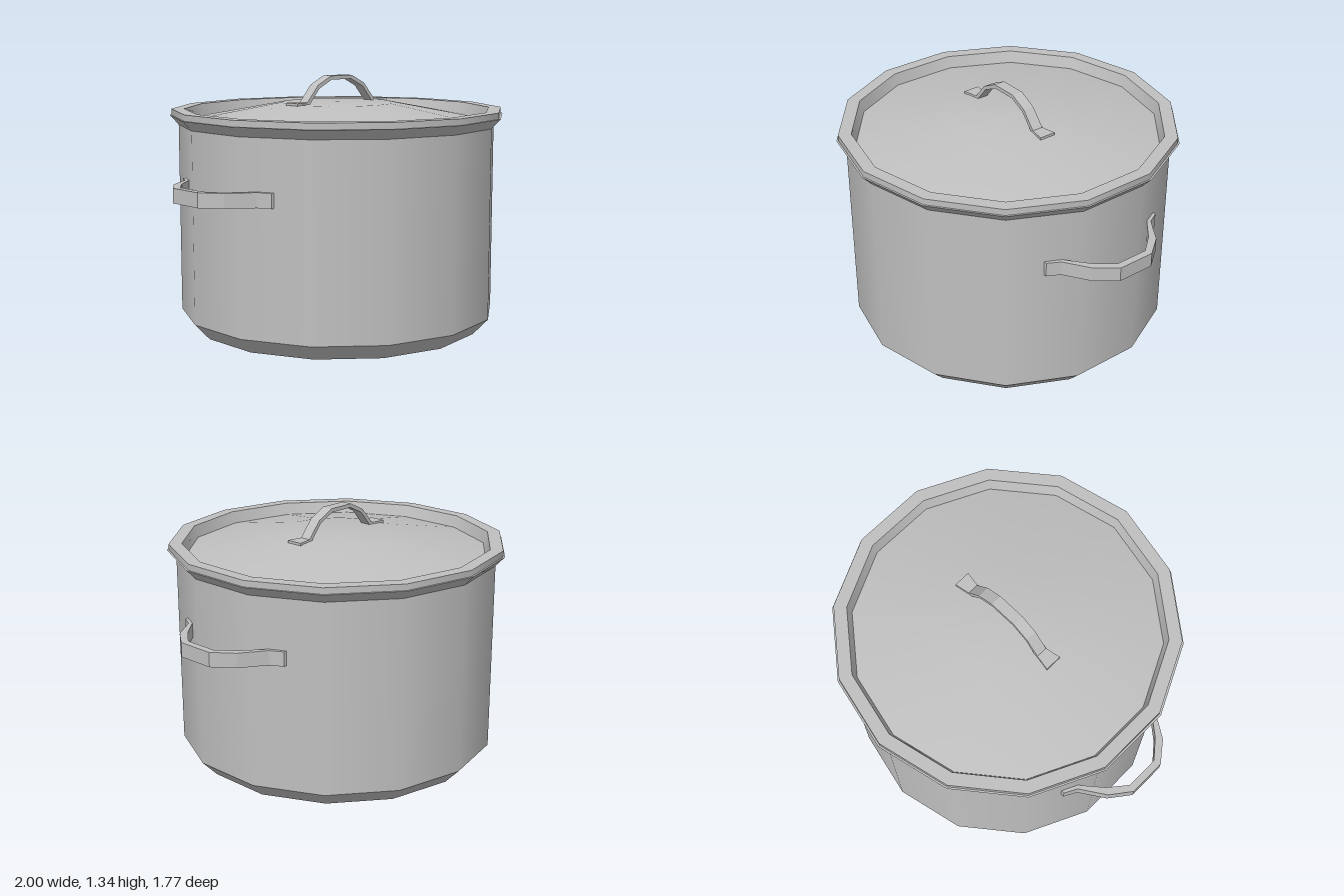
import * as THREE from 'three';

const SIDES = 14;
const steel = new THREE.MeshStandardMaterial({ color: 0xc0c0c0, side: THREE.DoubleSide });
steel.name = 'steel grey';

// Revolved bands: smooth around and within each band, sharp between bands
function turned(name, bands) {
  const group = new THREE.Group();
  group.name = name;
  for (const [label, ...pts] of bands) {
    const profile = pts.map(([r, y]) => new THREE.Vector2(r, y));
    const mesh = new THREE.Mesh(new THREE.LatheGeometry(profile, SIDES), steel);
    mesh.name = label;
    group.add(mesh);
  }
  return group;
}

// Symmetric bent strip: half outlines (outer and inner) are mirrored across the shape's y axis
function strip(outer, inner, depth) {
  const mirror = (pts) => pts.map(([x, y]) => [-x, y]).reverse();
  const loop = [...outer, ...mirror(outer), ...mirror(inner).reverse(), ...[...inner].reverse()];
  // walk: outer right -> outer left -> inner left -> inner right
  const shape = new THREE.Shape(loop.map(([x, y]) => new THREE.Vector2(x, y)));
  const geo = new THREE.ExtrudeGeometry(shape, { depth, bevelEnabled: false });
  return geo.translate(0, 0, -depth / 2);
}

export function createModel() {
  const model = new THREE.Group();
  model.name = 'cookingPot';

  // Pot body, with chamfered foot, flared rim and hollow inside
  model.add(turned('pot', [
    ['base', [0, 0], [0.76, 0]],
    ['chamfer', [0.76, 0], [0.84, 0.085]],
    ['wall', [0.84, 0.085], [0.84, 1.08]],
    ['flaredRim', [0.84, 1.08], [0.887, 1.13]],
    ['rimTop', [0.887, 1.13], [0.82, 1.13]],
    ['innerWall', [0.82, 1.13], [0.82, 0.09]],
    ['innerFloor', [0.82, 0.09], [0, 0.03]],
  ]));

  // Lid with raised edge, recess and shallow dome
  model.add(turned('lid', [
    ['lidEdge', [0.877, 1.13], [0.877, 1.162]],
    ['lidRing', [0.877, 1.162], [0.81, 1.162]],
    ['lidRecess', [0.81, 1.162], [0.79, 1.1]],
    ['lidDome', [0.79, 1.1], [0.3, 1.193], [0, 1.198]],
  ]));

  // Lid handle, arched along x with flared feet
  const lidGeo = strip(
    [[0.32, 1.203], [0.24, 1.203], [0.165, 1.29], [0.075, 1.335]],
    [[0.32, 1.19], [0.225, 1.19], [0.155, 1.273], [0.07, 1.315]],
    0.06,
  );
  const pos = lidGeo.attributes.position;
  for (let i = 0; i < pos.count; i++) {
    if (Math.abs(pos.getX(i)) > 0.3) pos.setZ(i, pos.getZ(i) * 1.5);
  }
  lidGeo.computeVertexNormals();
  const lidHandle = new THREE.Mesh(lidGeo, steel);
  lidHandle.name = 'lidHandle';
  model.add(lidHandle);

  // Side handles, arched outward with feet against the wall
  const sideGeo = strip(
    [[0.355, 0.755], [0.29, 0.79], [0.205, 0.92], [0.1, 1.0]],
    [[0.355, 0.735], [0.285, 0.765], [0.185, 0.885], [0.09, 0.963]],
    0.075,
  );
  sideGeo.rotateX(Math.PI / 2).rotateY(Math.PI / 2).translate(0, 0.782, 0);
  for (const [name, turn] of [['leftHandle', 0], ['rightHandle', Math.PI]]) {
    const handle = new THREE.Mesh(sideGeo, steel);
    handle.name = name;
    handle.rotation.y = turn;
    model.add(handle);
  }
  return model;
}
